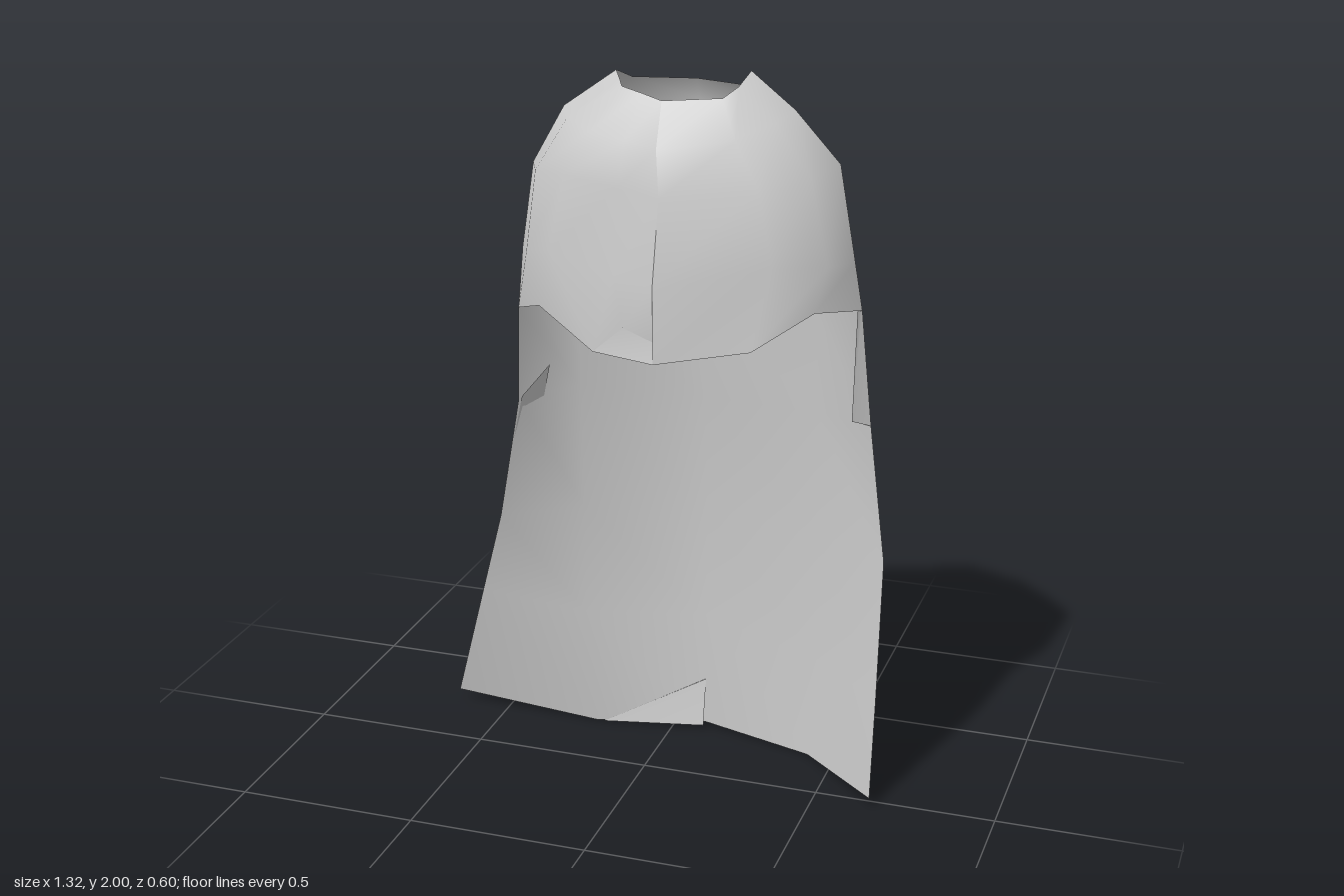
import * as THREE from 'three';

const cloth = new THREE.MeshStandardMaterial({ color: 0xcccccc, side: THREE.DoubleSide });

// Skin a grid of cross-sections (rows of [x, y, z] points) with smooth normals
function sheet(name, rows) {
  const n = rows[0].length;
  const index = [];
  for (let r = 0; r < rows.length - 1; r++) {
    for (let c = 0; c < n - 1; c++) {
      const a = r * n + c, b = a + n;
      index.push(a, b, a + 1, a + 1, b, b + 1);
    }
  }
  const geometry = new THREE.BufferGeometry();
  geometry.setAttribute('position', new THREE.Float32BufferAttribute(rows.flat(2), 3));
  geometry.setIndex(index);
  geometry.computeVertexNormals();
  const mesh = new THREE.Mesh(geometry, cloth);
  mesh.name = name;
  return mesh;
}

export function createModel() {
  const group = new THREE.Group();
  group.name = 'cape';

  // Back drape, neck to hem; each row runs from the left side round to the right side
  const back = [
    [[.28, 2, -.01], [.25, 1.95, -.07], [.09, 1.94, -.16], [-.06, 1.95, -.08], [-.08, 1.98, -.01]],
    [[.4, 1.91, 0], [.3, 1.9, -.11], [.09, 1.88, -.185], [-.13, 1.89, -.1], [-.22, 1.88, 0]],
    [[.52, 1.78, 0], [.4, 1.76, -.13], [.09, 1.75, -.21], [-.22, 1.75, -.13], [-.3, 1.73, .02]],
    [[.565, 1.53, 0], [.42, 1.5, -.15], [.09, 1.5, -.225], [-.24, 1.5, -.15], [-.33, 1.5, .03]],
    [[.585, 1.4, -.01], [.43, 1.33, -.16], [.09, 1.32, -.225], [-.25, 1.33, -.16], [-.345, 1.33, .03]],
    [[.6, 1.06, -.09], [.43, 1.05, -.18], [.09, 1.03, -.26], [-.25, 1.05, -.19], [-.37, 1.05, -.02]],
    [[.65, .68, -.08], [.44, .68, -.2], [.09, .68, -.29], [-.25, .68, -.21], [-.45, .68, -.07]],
    [[.655, .3, -.02], [.44, .3, -.21], [.09, .35, -.295], [-.25, .35, -.215], [-.53, .42, -.12]],
    [[.66, .03, .04], [.42, 0, -.21], [.09, .01, -.295], [-.22, 0, -.225], [-.66, .03, -.23]],
  ];
  group.add(sheet('backDrape', back));

  // Front of the shoulder mantle in two halves that meet at a centre seam
  const seam = [[.09, 1.94, .135], [.11, 1.84, .24], [.12, 1.72, .25], [.12, 1.5, .3]];
  const rightFront = [
    [[-.05, 1.97, .05], [-.03, 1.96, .09], [.03, 1.95, .11]],
    [[-.18, 1.87, .08], [-.1, 1.85, .15], [.01, 1.845, .2]],
    [[-.26, 1.73, .11], [-.16, 1.74, .17], [0, 1.73, .22]],
    [[-.28, 1.52, .13], [-.2, 1.54, .18], [0, 1.51, .25]],
    [[-.24, 1.38, .15], [-.06, 1.3, .24], [.03, 1.38, .265]],
  ];
  const leftFront = [
    [[.24, 1.95, .105], [.265, 1.97, .05]],
    [[.29, 1.86, .16], [.37, 1.89, .08]],
    [[.36, 1.74, .18], [.47, 1.76, .1]],
    [[.4, 1.55, .2], [.52, 1.54, .11]],
    [[.36, 1.34, .24], [.5, 1.43, .15]],
  ];
  const hemRight = [.12, 1.355, .285], hemLeft = [.12, 1.3, .295];
  group.add(sheet('mantleFrontRight', rightFront.map((row, i) =>
    [back[i][4], ...row, seam[i] ?? hemRight])));
  group.add(sheet('mantleFrontLeft', leftFront.map((row, i) =>
    [seam[i] ?? hemLeft, ...row, back[i][0]])));

  // Small folds tucked behind the hems and the open edges
  group.add(sheet('mantleHemTuck', [[[.03, 1.38, .262], hemRight], [[-.06, 1.3, .24], hemLeft]]));
  group.add(sheet('backHemPleat', [
    [[.09, .15, -.29], [.09, .15, -.295]],
    [[-.2, 0, -.225], [.09, .01, -.27]],
  ]));
  group.add(sheet('rightEdgeFold', [
    [[-.3, 1.14, -.08], [-.36, 1.06, -.02]],
    [[-.35, .92, -.1], [-.395, .92, -.04]],
    [[-.42, .7, -.1], [-.45, .68, -.07]],
  ]));
  group.add(sheet('leftEdgeFold', [
    [[.575, 1.4, 0], [.585, 1.4, -.01]],
    [[.55, 1.07, -.08], [.6, 1.06, -.09]],
  ]));

  return group;
}
